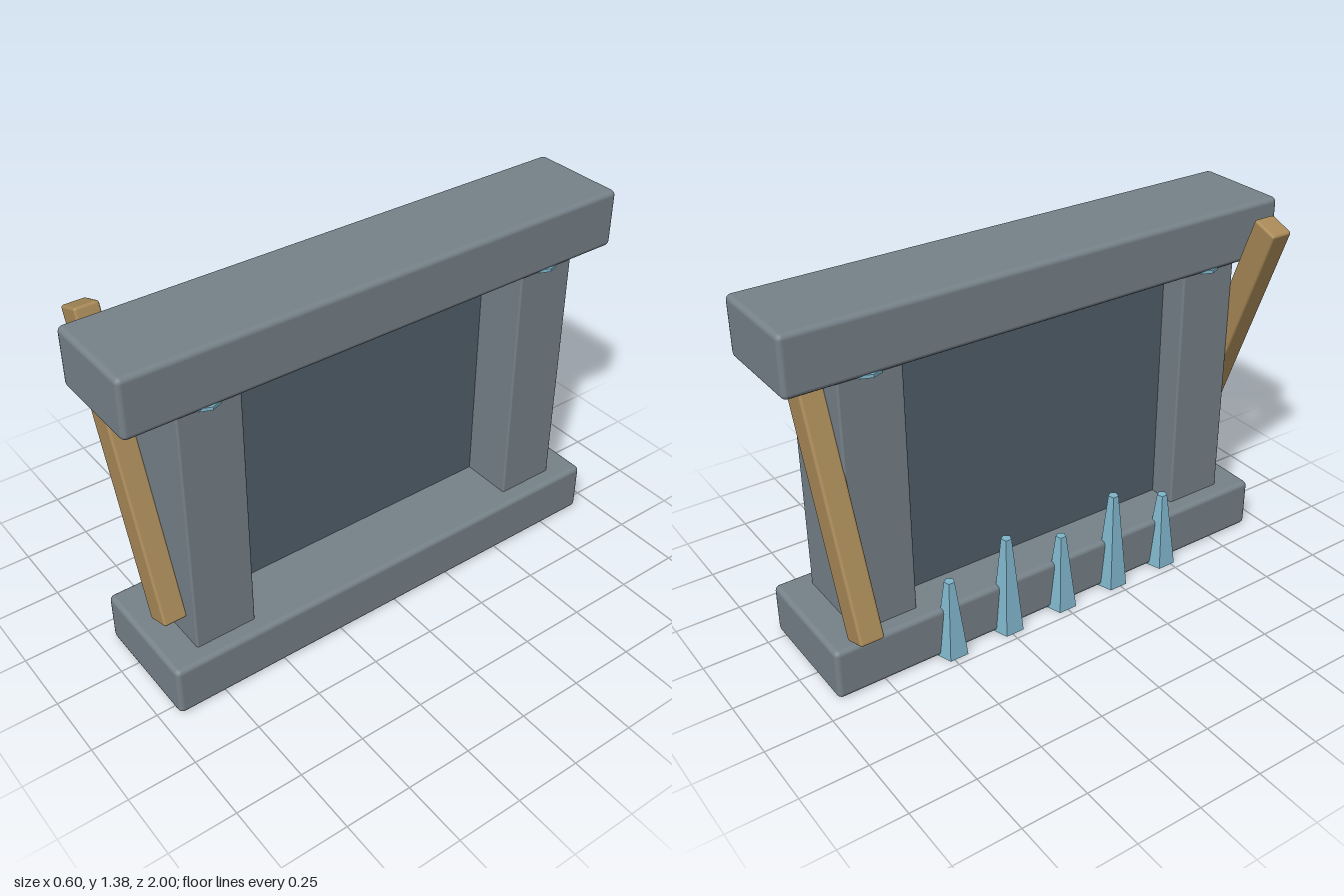
import * as THREE from 'three';
import { RoundedBoxGeometry } from 'three/addons/geometries/RoundedBoxGeometry.js';

export function createModel() {
  const group = new THREE.Group();
  group.name = 'stoneGate';

  const material = (name, color, flatShading = false) => {
    const m = new THREE.MeshStandardMaterial({ color, flatShading });
    m.name = name;
    return m;
  };
  const stone = material('stone', 0x77828a);
  const slate = material('darkSlate', 0x52606b);
  const wood = material('wood', 0xa98a58);
  const crystal = material('crystal', 0x80b6cc, true);

  const add = (name, geometry, mat, x, y, z) => {
    const mesh = new THREE.Mesh(geometry, mat);
    mesh.name = name;
    mesh.position.set(x, y, z);
    group.add(mesh);
    return mesh;
  };
  const block = (w, h, d, r) => new RoundedBoxGeometry(w, h, d, 2, r);

  // Base slab, lintel and recessed panel
  add('base', block(0.475, 0.2, 1.87, 0.02), stone, 0.0625, 0.1, 0);
  add('lintel', block(0.375, 0.22, 2, 0.02), stone, 0.0625, 1.27, 0);
  add('panel', new THREE.BoxGeometry(0.035, 1, 1.2), slate, 0.0175, 0.68, 0);

  for (const side of [1, -1]) {
    const end = side > 0 ? 'front' : 'back';
    add(end + 'Post', block(0.346, 1, 0.235, 0.008), stone, 0.0625, 0.68, side * 0.6975);

    // Thin crystal seal between post and lintel
    const seal = add(end + 'Seal', new THREE.CylinderGeometry(0.195, 0.195, 0.012, 16),
      crystal, 0.0625, 1.163, side * 0.6975);
    seal.scale.z = 0.5;

    // Leaning timber brace, crossed with its opposite
    const brace = add(end + 'Brace', block(0.106, 1.128, 0.09, 0.01), wood, -0.0625, 0.813, side * 0.855);
    brace.rotation.z = side * THREE.MathUtils.degToRad(20);
  }

  // Row of five-sided crystal spikes, alternating in height
  for (let i = 0; i < 5; i++) {
    const height = i % 2 ? 0.393 : 0.308;
    add('spike' + (i + 1), new THREE.CylinderGeometry(0.02, 0.063, height, 5, 1, false, Math.PI / 2),
      crystal, -0.17, height / 2, (i - 2) * 0.24);
  }

  return group;
}
